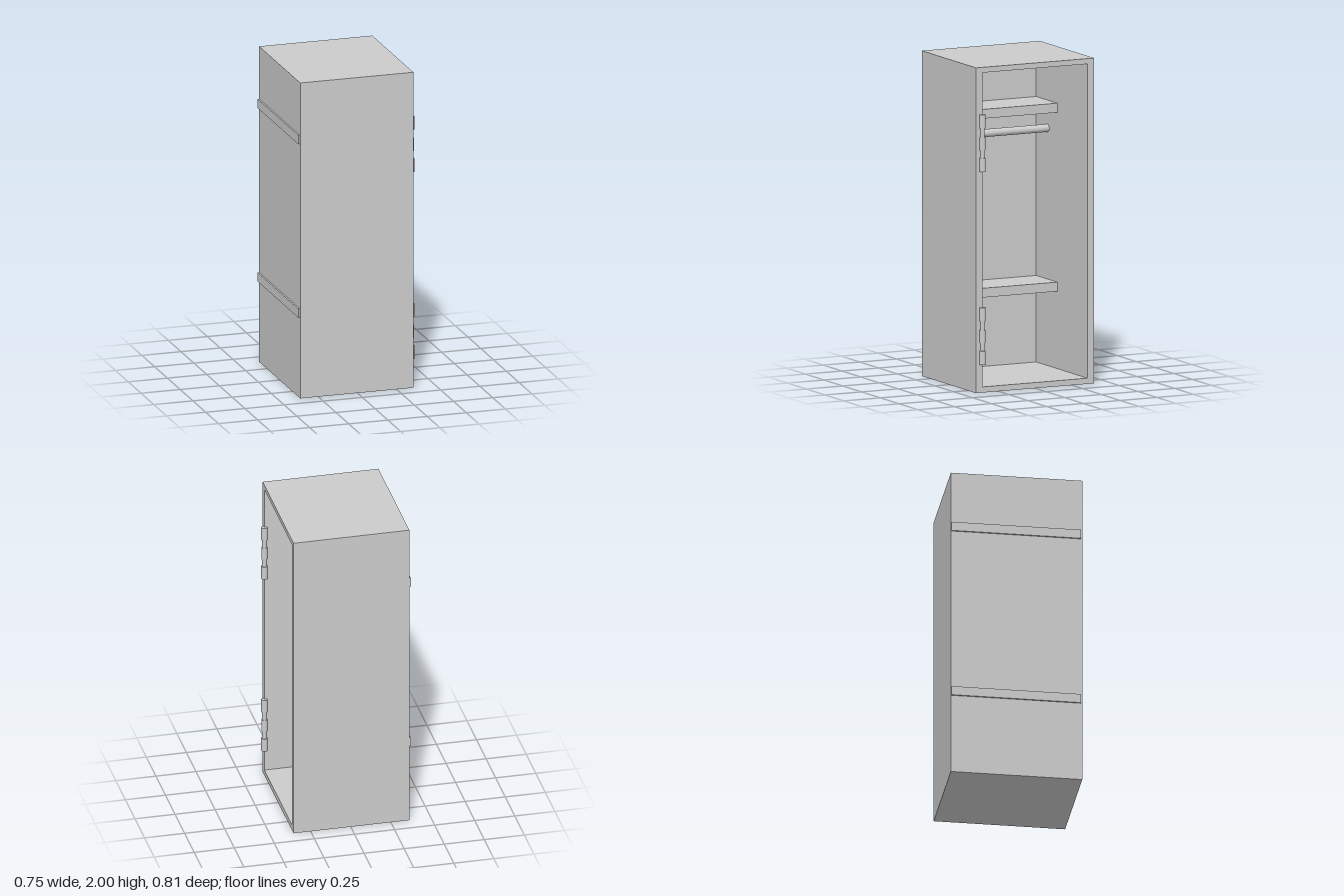
import * as THREE from 'three';

export function createModel() {
  const group = new THREE.Group();
  group.name = 'cabinet';
  const material = new THREE.MeshStandardMaterial({ color: 0xcccccc });

  const add = (name, geometry, x, y, z) => {
    const mesh = new THREE.Mesh(geometry, material);
    mesh.name = name;
    mesh.position.set(x, y, z);
    group.add(mesh);
    return mesh;
  };
  // Box given by its limits on each axis
  const box = (name, x0, x1, y0, y1, z0, z1) =>
    add(name, new THREE.BoxGeometry(x1 - x0, y1 - y0, z1 - z0),
      (x0 + x1) / 2, (y0 + y1) / 2, (z0 + z1) / 2);

  const left = 0.357, right = -0.365, inner = -0.325, depth = 0.403;

  // Carcass: a rectangular frame extruded along x, open towards +x
  const frame = new THREE.Shape([
    [-depth, 0], [depth, 0], [depth, 2], [-depth, 2],
  ].map(([a, b]) => new THREE.Vector2(a, b)));
  frame.holes.push(new THREE.Path([
    [-0.36, 0.035], [-0.36, 1.967], [0.357, 1.967], [0.357, 0.035],
  ].map(([a, b]) => new THREE.Vector2(a, b))));
  const shell = new THREE.ExtrudeGeometry(frame, { depth: left - right, bevelEnabled: false });
  shell.rotateY(Math.PI / 2);
  add('carcass', shell, right, 0, 0);

  // Panel closing the far side
  box('backPanel', right, inner, 0.02, 1.98, -0.38, 0.38);

  // Half-depth shelves whose edges show through the closed side
  for (const [y0, y1] of [[0.51, 0.567], [1.61, 1.667]]) {
    box('shelf', inner - 0.01, -0.045, y0, y1, -0.37, 0.37);
    box('shelfEdge', -0.375, inner, y0, y1, -0.4, 0.395);
  }

  // Hanging rod below the upper shelf
  const rod = add('hangingRod', new THREE.CylinderGeometry(0.024, 0.024, 0.74, 32), -0.175, 1.496, 0);
  rod.rotation.x = Math.PI / 2;

  // Hinges: three barrels joined by narrower waists
  const barrel = (y0, y1, r) => add('hinge',
    new THREE.CylinderGeometry(r, r, y1 - y0, 24), left, (y0 + y1) / 2, 0.36);
  for (const base of [0.172, 1.358]) {
    barrel(base, base + 0.085, 0.019);
    barrel(base + 0.085, base + 0.133, 0.014);
    barrel(base + 0.133, base + 0.213, 0.018);
    barrel(base + 0.213, base + 0.267, 0.014);
    barrel(base + 0.267, base + 0.352, 0.019);
  }

  return group;
}
